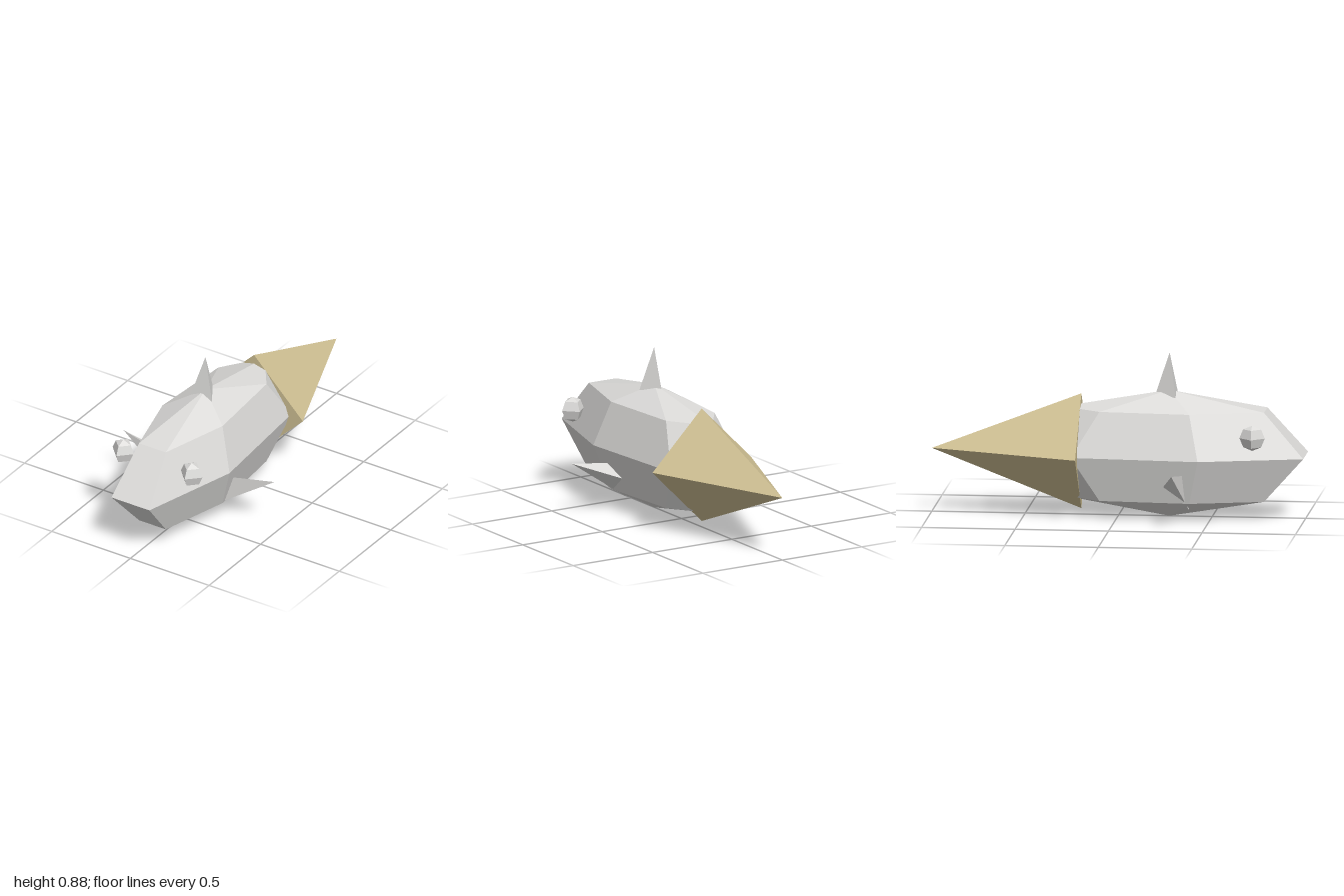
import * as THREE from 'three';

export function createModel() {
  const model = new THREE.Group();
  const skin = new THREE.MeshStandardMaterial({ name: 'pale grey', color: 0xdcdbd9, flatShading: true });
  const tan = new THREE.MeshStandardMaterial({ name: 'tan', color: 0xd0c194, flatShading: true });

  const add = (name, geometry, material, x, y, z) => {
    const mesh = new THREE.Mesh(geometry, material);
    mesh.name = name;
    mesh.position.set(x, y, z);
    model.add(mesh);
    return mesh;
  };

  // Three-sided spike with one edge facing the back
  const spike = (radius, height) => new THREE.ConeGeometry(radius, height, 3).rotateY(Math.PI);

  // Body: seven-sided stretched sphere, flat facet at the nose
  const body = new THREE.SphereGeometry(1, 7, 4).rotateY(-Math.PI / 2).scale(0.277, 0.34, 0.81);
  add('body', body, skin, 0, 0.342, 0.27);

  // Tail: four-sided pyramid pointing backwards
  add('tail', new THREE.ConeGeometry(0.31, 0.8, 4).rotateX(-Math.PI / 2), tan, 0, 0.344, -0.6);

  // Fin on the back
  add('dorsalFin', spike(0.078, 0.235), skin, 0, 0.767, 0.272);

  // Eyes and side fins, mirrored
  const tilt = THREE.MathUtils.degToRad(69);
  for (const [side, s] of [['left', 1], ['right', -1]]) {
    add(side + 'Eye', new THREE.SphereGeometry(0.068, 4, 4), skin, s * 0.217, 0.467, 0.737);
    const fin = add(side + 'Fin', spike(0.108, 0.43), skin, s * 0.279, 0.22, 0.333);
    fin.rotation.z = -s * tilt;
  }

  return model;
}
